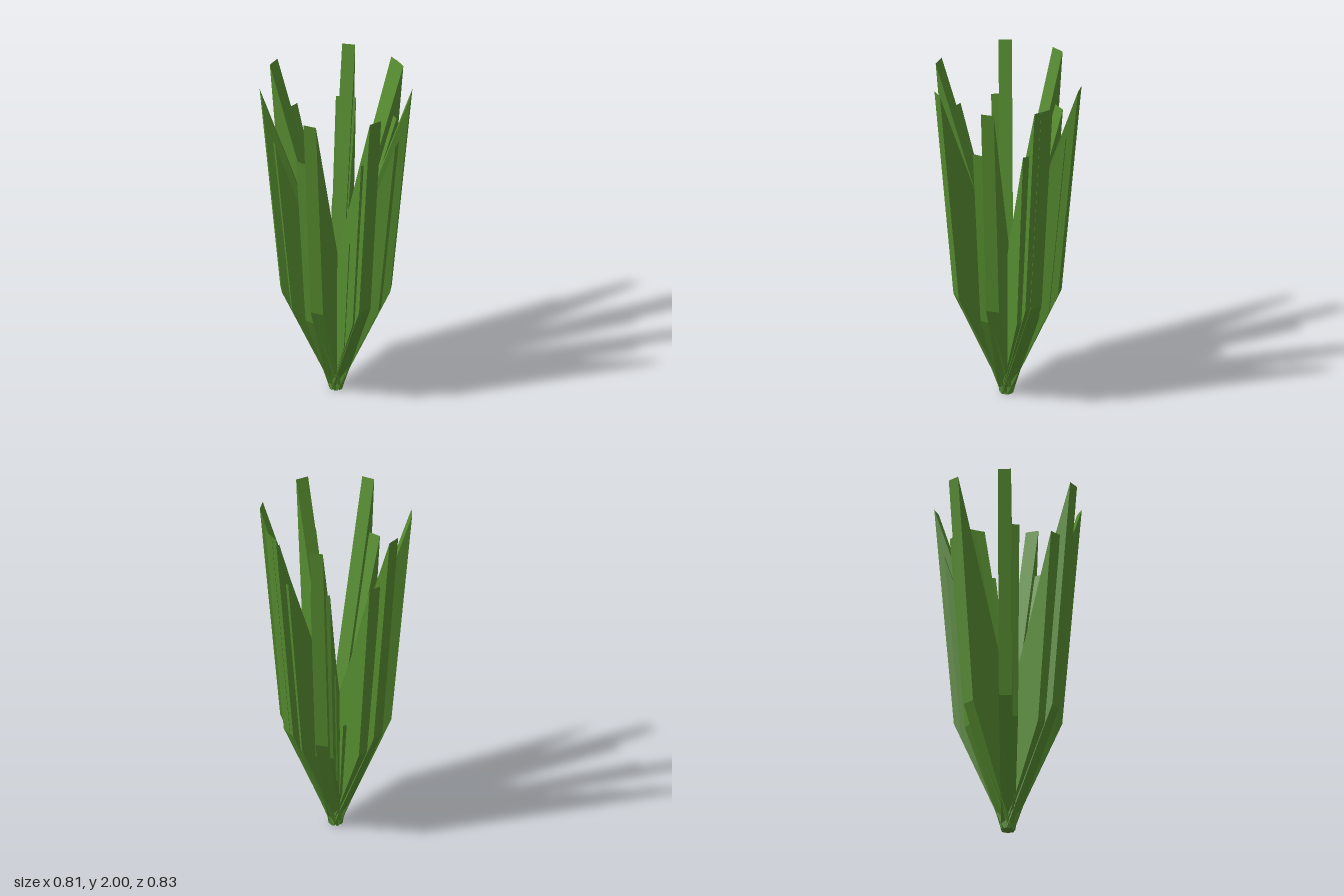
import * as THREE from 'three';

// Angles are in degrees, turning from +x towards +z.
const TIERS = [
  { name: 'tallBlade', scale: 1, width: 0.073, angles: [-3, 2.5, 43.6, 94.6, 146, 208, 251, 315.4] },
  { name: 'mediumBlade', scale: 0.847, width: 0.072, angles: [-6.6, 8.5, 54.5, 97.3, 158, 201, 263.4, 311.5, 318] },
  { name: 'shortBlade', scale: 0.55, width: 0.071, angles: [0, 47, 99, 150, 204, 256, 309] },
  { name: 'sproutBlade', scale: 0.36, width: 0.07, angles: [3, 45, 95, 152, 205, 272, 314] },
];

// Side profile of a blade: radius outwards, height upwards
const PROFILE = [[0, 0], [0.014, 0], [0.305, 0.68], [0.42, 2], [0, 0.71]];

function bladeGeometry(scale, width) {
  const shape = new THREE.Shape(PROFILE.map(([r, y]) => new THREE.Vector2(r * scale, y * scale)));
  const geometry = new THREE.ExtrudeGeometry(shape, { depth: width, bevelEnabled: false });
  return geometry.translate(0, 0, -width / 2);
}

export function createModel() {
  const plant = new THREE.Group();
  plant.name = 'grassTuft';
  const leafGreen = new THREE.MeshStandardMaterial({ color: 0x558b2f });
  leafGreen.name = 'leafGreen';

  // Rings of keeled blades that share one root
  for (const { name, scale, width, angles } of TIERS) {
    const geometry = bladeGeometry(scale, width);
    angles.forEach((angle, i) => {
      const blade = new THREE.Mesh(geometry, leafGreen);
      blade.name = `${name}${i + 1}`;
      blade.position.set(-0.019, 0, -0.01);
      blade.rotation.y = -THREE.MathUtils.degToRad(angle);
      plant.add(blade);
    });
  }
  return plant;
}
